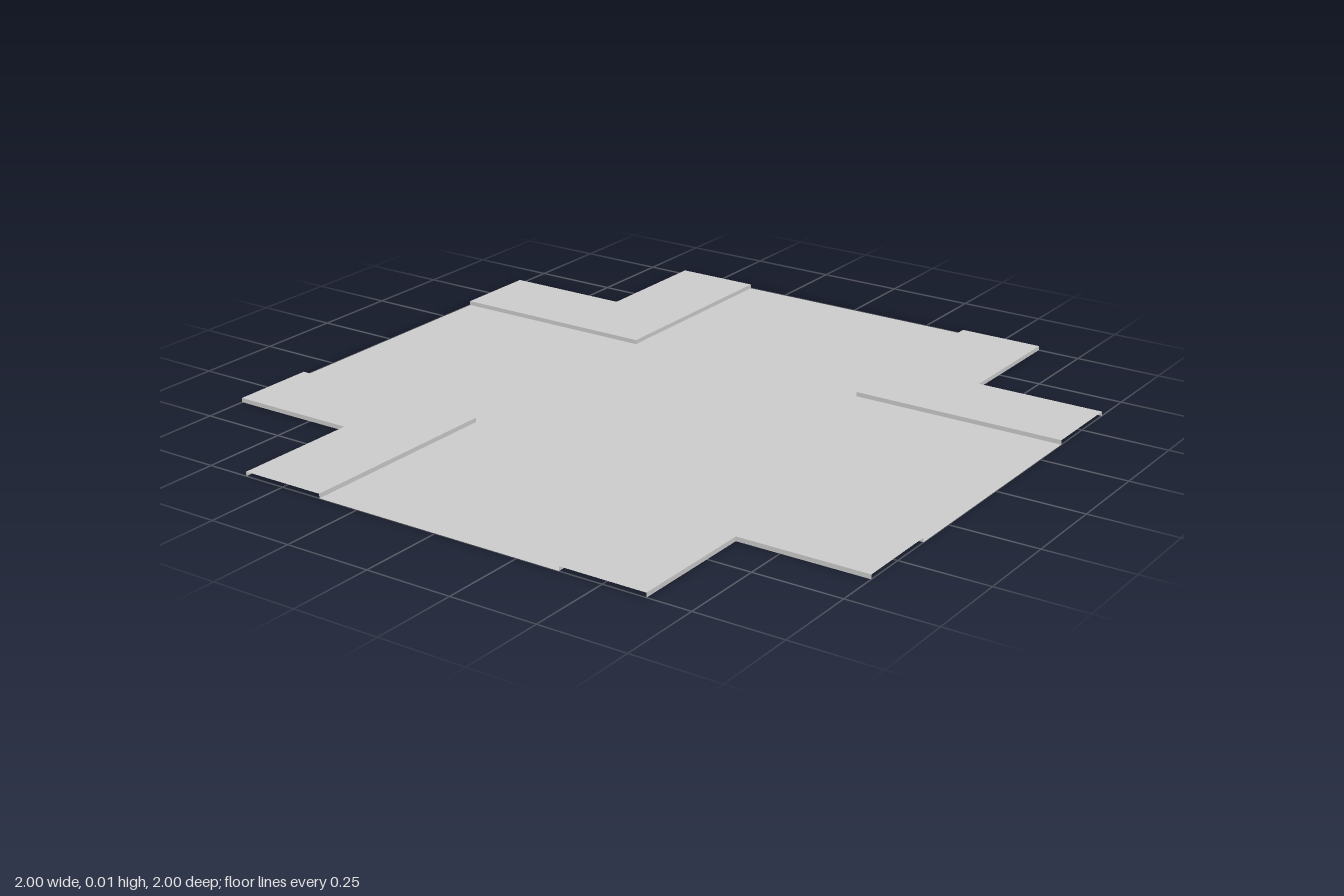
import * as THREE from 'three';

const INNER = 0.375;  // half width of the road
const OUTER = 0.625;  // outer side of the pavement
const END = 1;        // where the arms stop
const HEIGHT = 0.0125; // curb height

const material = new THREE.MeshStandardMaterial({ color: 0xcccccc, side: THREE.DoubleSide, flatShading: true });

function addMesh(parent, name, geometry) {
  const mesh = new THREE.Mesh(geometry, material);
  mesh.name = name;
  parent.add(mesh);
  return mesh;
}

// Flat horizontal face from a plan outline, facing up
function slab(points, y) {
  const shape = new THREE.Shape(points.map(([x, z]) => new THREE.Vector2(x, -z)));
  return new THREE.ShapeGeometry(shape).rotateX(-Math.PI / 2).translate(0, y, 0);
}

// Upright strip on the line from `start` to the arm end, turned by `angle`
function wall(start, angle, alongX) {
  const length = END - start, middle = (END + start) / 2;
  const geometry = new THREE.PlaneGeometry(length, HEIGHT).rotateY(angle);
  return alongX
    ? geometry.translate(middle, HEIGHT / 2, start)
    : geometry.translate(start, HEIGHT / 2, middle);
}

export function createModel() {
  const model = new THREE.Group();
  model.name = 'crossroads';

  // Cross-shaped road surface
  const a = INNER, e = END;
  addMesh(model, 'road', slab([
    [a, a], [e, a], [e, -a], [a, -a], [a, -e], [-a, -e],
    [-a, -a], [-e, -a], [-e, a], [-a, a], [-a, e], [a, e],
  ], 0));

  // Four raised L-shaped pavements, hollow below and open at the arm ends
  for (let i = 0; i < 4; i++) {
    const corner = new THREE.Group();
    corner.name = 'pavementCorner' + (i + 1);
    addMesh(corner, 'pavementTop', slab([
      [INNER, INNER], [END, INNER], [END, OUTER],
      [OUTER, OUTER], [OUTER, END], [INNER, END],
    ], HEIGHT));
    addMesh(corner, 'curbAlongX', wall(INNER, Math.PI, true));
    addMesh(corner, 'curbAlongZ', wall(INNER, -Math.PI / 2, false));
    addMesh(corner, 'outerWallAlongX', wall(OUTER, 0, true));
    addMesh(corner, 'outerWallAlongZ', wall(OUTER, Math.PI / 2, false));
    corner.rotation.y = i * Math.PI / 2;
    model.add(corner);
  }
  return model;
}
